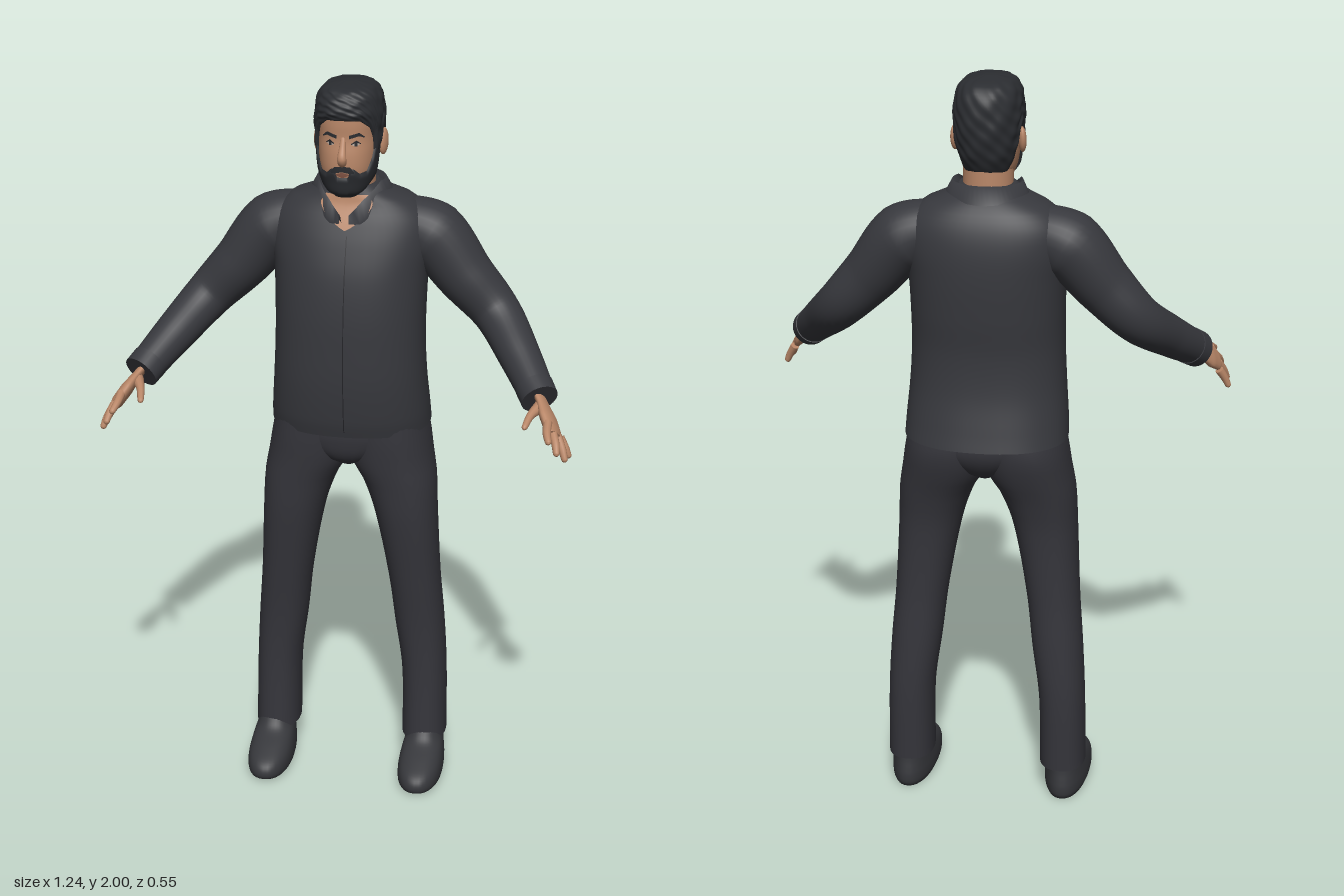
import * as THREE from 'three';

const mat = (name, color, side = THREE.FrontSide) => {
  const m = new THREE.MeshStandardMaterial({ color, side });
  m.name = name;
  return m;
};

// Piecewise-linear lookup in [[x, y], ...]
const table = (pts) => (x) => {
  let i = 0;
  while (i < pts.length - 2 && x > pts[i + 1][0]) i++;
  const [[x0, y0], [x1, y1]] = [pts[i], pts[i + 1]];
  return y0 + (y1 - y0) * THREE.MathUtils.clamp((x - x0) / (x1 - x0), 0, 1);
};

// Skin a grid of rings; closed rings may get flat caps
function skin(rows, closed, caps) {
  const pos = [], idx = [], n = rows[0].length, m = rows.length;
  rows.forEach((r) => r.forEach((p) => pos.push(p.x, p.y, p.z)));
  for (let i = 0; i < m - 1; i++) for (let j = 0; j < (closed ? n : n - 1); j++) {
    const a = i * n + j, b = i * n + (j + 1) % n;
    idx.push(a, b, a + n, b, b + n, a + n);
  }
  if (caps) [rows[0], rows[m - 1]].forEach((ring, end) => {
    const base = pos.length / 3, c = new THREE.Vector3();
    ring.forEach((p) => { pos.push(p.x, p.y, p.z); c.addScaledVector(p, 1 / n); });
    pos.push(c.x, c.y, c.z);
    for (let j = 0; j < n; j++) {
      const a = base + j, b = base + (j + 1) % n;
      idx.push(...(end ? [a, b, base + n] : [b, a, base + n]));
    }
  });
  const g = new THREE.BufferGeometry();
  g.setAttribute('position', new THREE.Float32BufferAttribute(pos, 3));
  g.setIndex(idx);
  g.computeVertexNormals();
  return g;
}

// Smooth body surface from sections [y, halfWidth, zBack, zFront, xCentre]; angle 0 faces front
function surface(secs, power = 2.3, taper = 0) {
  const val = (k, y) => {
    let i = 0;
    while (i < secs.length - 2 && y > secs[i + 1][0]) i++;
    const S = (q) => secs[THREE.MathUtils.clamp(q, 0, secs.length - 1)];
    const g = (q) => ((S(q + 1)[k] ?? 0) - (S(q - 1)[k] ?? 0)) / (S(q + 1)[0] - S(q - 1)[0]);
    const h = S(i + 1)[0] - S(i)[0], t = THREE.MathUtils.clamp((y - S(i)[0]) / h, 0, 1);
    const a = S(i)[k] ?? 0, b = S(i + 1)[k] ?? 0, t2 = t * t, t3 = t2 * t;
    return (2 * t3 - 3 * t2 + 1) * a + (t3 - 2 * t2 + t) * h * g(i) + (3 * t2 - 2 * t3) * b + (t3 - t2) * h * g(i + 1);
  };
  const pw = (v) => Math.sign(v) * Math.abs(v) ** (2 / power);
  const f = (a, y, off = 0) => {
    const zb = val(2, y), zf = val(3, y), c = pw(Math.cos(a));
    return new THREE.Vector3(
      val(4, y) + (val(1, y) + off) * pw(Math.sin(a)) * (1 + taper * c), y,
      (zb + zf) / 2 + ((zf - zb) / 2 + off) * c);
  };
  f.low = secs[0][0];
  f.high = secs[secs.length - 1][0];
  return f;
}

// Part of a surface between two height curves, lifted by off(angle, v)
function shell(f, a0, a1, low, high, off, cols = 16, rowCount = 4, closed = false) {
  const rows = [];
  for (let i = 0; i <= rowCount; i++) {
    const row = [], v = i / rowCount;
    for (let j = 0; j < (closed ? cols : cols + 1); j++) {
      const a = a0 + (a1 - a0) * j / cols, k = Math.abs(a > Math.PI ? a - 2 * Math.PI : a);
      row.push(f(a, low(k) + (high(k) - low(k)) * v, off(a, v)));
    }
    rows.push(row);
  }
  return rows;
}
const solid = (f, cols = 40, rows = 36) =>
  skin(shell(f, 0, 2 * Math.PI, () => f.low, () => f.high, () => 0, cols, rows, true), true, true);

// Tapered limb through [x, y, z, radius], optionally flattened across a wide axis
function limb(pts, sides = 20, steps = 30, wide = new THREE.Vector3(0, 0, 1), flat = 1) {
  const curve = new THREE.CatmullRomCurve3(pts.map((p) => new THREE.Vector3(p[0], p[1], p[2])));
  const radius = table(pts.map((p, i) => [i, p[3]])), rows = [];
  for (let i = 0; i <= steps; i++) {
    const t = i / steps, c = curve.getPoint(t), d = curve.getTangent(t), r = radius(t * (pts.length - 1));
    const u = wide.clone().addScaledVector(d, -wide.dot(d)).normalize(), w = d.clone().cross(u);
    rows.push(Array.from({ length: sides }, (_, j) => {
      const a = j / sides * 2 * Math.PI;
      return c.clone().addScaledVector(u, r * Math.cos(a)).addScaledVector(w, r * flat * Math.sin(a));
    }));
  }
  return skin(rows, true, true);
}

export function createModel() {
  const root = new THREE.Group();
  const D = THREE.DoubleSide;
  const M = {
    shirt: mat('shirt charcoal', 0x37383d), trousers: mat('trouser charcoal', 0x35353b),
    shoe: mat('shoe charcoal', 0x36373b), collar: mat('collar charcoal', 0x37383d, D),
    seam: mat('seam black', 0x222226, D), hair: mat('hair black', 0x2b2d31, D),
    skin: mat('skin', 0xb98768, D), lip: mat('lip', 0x875848, D), eye: mat('eye white', 0xb5a79c, D),
  };
  const add = (name, geo, m, parent = root) => {
    const o = new THREE.Mesh(geo, m);
    o.name = name;
    parent.add(o);
    return o;
  };
  const K = (v) => () => v;

  // Shirt body, placket seam, hem stitching
  const torso = surface([[1.058, .215, -.275, .05], [1.1, .213, -.264, .06], [1.2, .205, -.242, .07],
    [1.3, .2, -.236, .07], [1.4, .2, -.245, .065], [1.5, .204, -.25, .05], [1.58, .214, -.246, .026],
    [1.64, .205, -.232, .002], [1.685, .16, -.208, -.018], [1.708, .105, -.185, -.022], [1.73, .072, -.165, -.028]]);
  add('shirtBody', solid(torso, 56, 48), M.shirt);
  add('placketSeam', skin(shell(torso, .012, .02, K(1.075), K(1.61), K(.0015), 1, 30)), M.seam);

  // Open neck and folded collar
  add('neckOpening', skin(shell(torso, -.5, .5, (a) => 1.622 + a * .17, K(1.71), K(.003), 20, 8)), M.skin);
  add('neck', solid(surface([[1.62, .062, -.15, -.04], [1.7, .064, -.155, -.03], [1.8, .064, -.155, -.01]], 2)), M.skin);
  const collarRows = [[], [], []];
  for (let j = 0; j <= 48; j++) {
    const a = .12 + (2 * Math.PI - .24) * j / 48, s = Math.sin(a), c = Math.cos(a);
    const k = Math.min(a, 2 * Math.PI - a);
    const top = table([[.12, 1.665], [.5, 1.7], [1.1, 1.738], [3.15, 1.74]])(k);
    const edge = table([[.12, 1.645], [.42, 1.64], [.8, 1.678], [1.5, 1.705], [3.15, 1.695]])(k);
    const zf = table([[.12, .012], [.5, -.002], [1.1, -.025], [3.15, -.025]])(k);
    const ring = (w, y, z0, z1) => new THREE.Vector3(w * s, y, (z0 + z1) / 2 + (z1 - z0) / 2 * c);
    collarRows[0].push(ring(.108, edge, -.2, zf + .013));
    collarRows[1].push(ring(.09, top, -.178, zf + .006));
    collarRows[2].push(ring(.076, top - .03, -.165, zf - .01));
  }
  add('collar', skin(collarRows), M.collar);

  // Seat of the trousers
  add('trouserSeat', solid(surface([[.945, .03, -.17, -.03], [.975, .1, -.215, .012], [1.03, .185, -.245, .03], [1.1, .2, -.24, .03]])), M.trousers);

  for (const s of [1, -1]) {
    const side = s > 0 ? 'left' : 'right';
    const P = (pts) => pts.map(([x, ...rest]) => [s * x, ...rest]);
    const V = (x, y, z) => new THREE.Vector3(s * x, y, z);

    // Trouser leg and shoe
    add(side + 'TrouserLeg', solid(surface([[.095, .062, -.195, -.028, .212], [.3, .062, -.2, -.035, .208],
      [.45, .068, -.195, -.03, .194], [.6, .071, -.187, -.013, .179], [.8, .085, -.192, .013, .155],
      [.9, .1, -.212, .02, .135], [.96, .1125, -.232, .025, .1125], [1.03, .112, -.248, .03, .102],
      [1.1, .105, -.24, .03, .095]].map((q) => [...q.slice(0, 4), s * q[4]]))), M.trousers);
    add(side + 'Shoe', solid(surface([[0, .056, -.18, .1], [.012, .061, -.188, .117], [.035, .062, -.19, .118],
      [.055, .06, -.187, .1], [.075, .056, -.183, .055], [.098, .05, -.18, -.005], [.13, .045, -.175, -.035]]
      .map((q) => [...q, s * .216]), 2.2, .09), 40, 28), M.shoe);

    // Sleeve with cuff
    add(side + 'Sleeve', limb(P([[.12, 1.615, -.12, .072], [.21, 1.582, -.122, .09], [.3, 1.478, -.112, .076],
      [.385, 1.388, -.097, .064], [.46, 1.308, .005, .055], [.524, 1.238, .112, .046]]), 28, 44), M.shirt);
    add(side + 'Cuff', limb(P([[.508, 1.256, .083, .05], [.526, 1.236, .115, .049]]), 28, 2), M.shirt);

    // Hand
    const hand = new THREE.Group();
    hand.name = side + 'Hand';
    root.add(hand);
    add('palm', limb(P([[.52, 1.245, .1, .028], [.537, 1.226, .13, .03], [.554, 1.204, .165, .041],
      [.569, 1.184, .198, .039], [.575, 1.177, .21, .028]]), 20, 20, V(.03, -.05, -.04), .42), M.skin, hand);
    [[.556, 1.21, .205, .558, 1.198, .245, .566, 1.183, .277],
      [.568, 1.19, .205, .58, 1.168, .237, .586, 1.145, .262],
      [.58, 1.172, .192, .596, 1.142, .212, .606, 1.114, .226],
      [.586, 1.158, .172, .601, 1.133, .179, .613, 1.107, .182],
      [.53, 1.226, .14, .51, 1.218, .185, .498, 1.2, .233]].forEach((q, i) => {
      const [a, b, c] = [0, 3, 6].map((k) => q.slice(k, k + 3));
      const near = c.map((v, k) => v + (b[k] - v) * .14);
      add(i < 4 ? 'finger' : 'thumb', limb(P([[...a, i < 4 ? .012 : .017], [...b, .0105], [...near, .008], [...c, .003]]),
        10, 14, V(.03, -.05, -.04)), M.skin, hand);
    });
  }

  // Head
  const head = surface([[1.715, .03, -.07, .018], [1.73, .05, -.11, .03], [1.76, .066, -.145, .037], [1.79, .073, -.16, .043],
    [1.83, .077, -.172, .042], [1.87, .079, -.18, .036], [1.91, .08, -.181, .036], [1.95, .075, -.175, .031],
    [1.972, .062, -.158, .016], [1.984, .042, -.13, -.008], [1.99, .004, -.075, -.065]]);
  add('head', solid(head), M.skin);
  add('nose', limb([[0, 1.876, .03, .007], [0, 1.85, .042, .009], [0, 1.826, .053, .012], [0, 1.813, .046, .011], [0, 1.808, .036, .006]],
    14, 20, new THREE.Vector3(1, 0, 0), .9), M.skin);

  // Hair cap, cut around the face and ears, with a wavy surface
  const hairline = table([[0, 1.922], [.5, 1.92], [.85, 1.9], [1.05, 1.865], [1.15, 1.81], [1.4, 1.81], [1.5, 1.86],
    [1.75, 1.865], [2, 1.8], [2.3, 1.768], [3.15, 1.762]]);
  const hairOff = (a, v) => Math.min(1, .2 + 4 * v) * (.009 + .0022 * Math.sin(a * 11 + v * 9) * Math.sin(v * 26 + a * 3));
  const hairRows = shell(head, 0, 2 * Math.PI, hairline, K(1.99), hairOff, 96, 36, true);
  hairRows.forEach((r) => r.forEach((p) => { p.y += .01 * THREE.MathUtils.smoothstep(p.y, 1.92, 1.985); }));
  add('hair', skin(hairRows, true, true), M.hair);

  // Beard, moustache and lips
  const beardTop = table([[0, 1.774], [.16, 1.774], [.22, 1.798], [.34, 1.797], [.55, 1.784], [.85, 1.788], [1.05, 1.82], [1.15, 1.86], [1.4, 1.86]]);
  const beardLow = table([[0, 1.716], [.8, 1.718], [1.4, 1.745]]);
  const beard = shell(head, -1.4, 1.4, beardLow, beardTop, (a, v) => .007 * Math.min(1, .3 + 4 * v, .2 + 5 * (1 - v)), 80, 14);
  add('beard', skin(beard), M.hair);
  add('beardUnderside', skin(shell(head, 0, 2 * Math.PI, K(1.715), K(1.728), K(.002), 40, 3, true), true, true), M.hair);
  add('moustache', skin(shell(head, -.33, .33, table([[0, 1.791], [.33, 1.784]]), table([[0, 1.806], [.2, 1.804], [.33, 1.792]]), K(.006), 20, 4)), M.hair);
  add('lips', skin(shell(head, -.18, .18, table([[0, 1.774], [.18, 1.782]]), table([[0, 1.789], [.18, 1.784]]), K(.004), 14, 4)), M.lip);

  for (const s of [1, -1]) {
    const side = s > 0 ? 'left' : 'right';
    const patch = (name, a0, a1, lo, hi, off, m) =>
      add(side + name, skin(shell(head, s > 0 ? a0 : -a1, s > 0 ? a1 : -a0, lo, hi, K(off), 12, 3)), m);
    // Eyes, brows and ears
    patch('Eye', .24, .5, table([[.24, 1.859], [.37, 1.855], [.5, 1.86]]), table([[.24, 1.86], [.37, 1.867], [.5, 1.861]]), .001, M.eye);
    patch('Iris', .325, .415, K(1.856), K(1.867), .002, M.hair);
    patch('UpperLid', .22, .52, table([[.22, 1.86], [.37, 1.866], [.52, 1.861]]), table([[.22, 1.863], [.37, 1.871], [.52, 1.863]]), .003, M.seam);
    patch('Brow', .15, .64, table([[.15, 1.875], [.45, 1.882], [.64, 1.876]]), table([[.15, 1.884], [.45, 1.891], [.64, 1.879]]), .004, M.hair);
    const ear = add(side + 'Ear', new THREE.SphereGeometry(1, 18, 14), M.skin);
    ear.scale.set(.011, .035, .02);
    ear.position.set(s * .085, 1.84, -.082);
    ear.rotation.set(-.2, s * -.3, 0);
  }
  return root;
}
